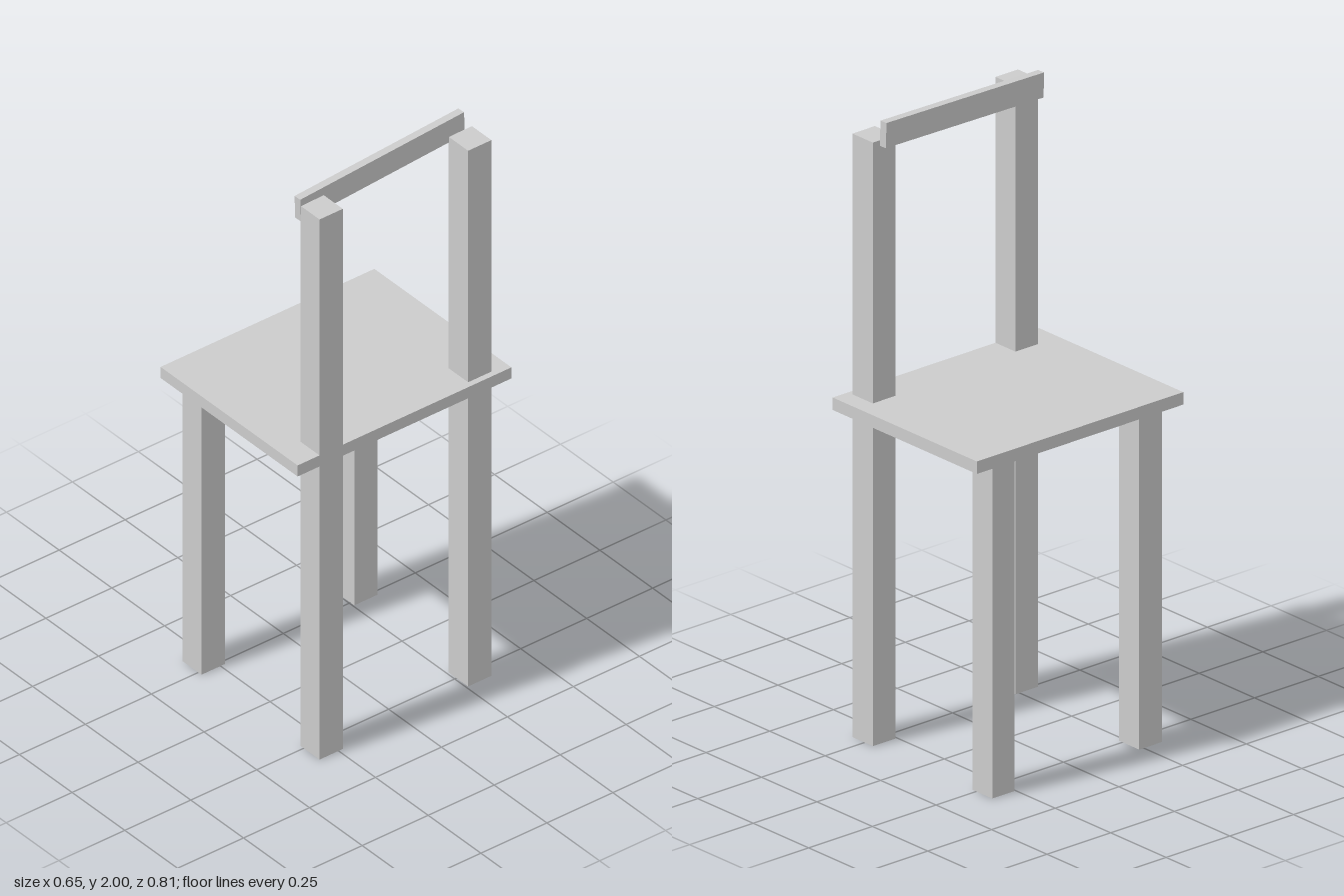
import * as THREE from 'three';

const material = new THREE.MeshStandardMaterial({ color: 0xcccccc, flatShading: true });

// Box given by its extents along each axis
function box(name, x0, x1, y0, y1, z0, z1) {
  const mesh = new THREE.Mesh(new THREE.BoxGeometry(x1 - x0, y1 - y0, z1 - z0), material);
  mesh.position.set((x0 + x1) / 2, (y0 + y1) / 2, (z0 + z1) / 2);
  mesh.name = name;
  return mesh;
}

export function createModel() {
  const chair = new THREE.Group();
  chair.name = 'chair';

  // Seat board
  chair.add(box('seat', -0.325, 0.325, 1.06, 1.1, -0.405, 0.405));

  // Short legs under the open edge of the seat
  chair.add(box('shortLegLeft', -0.325, -0.235, 0, 1.06, 0.232, 0.322));
  chair.add(box('shortLegRight', -0.322, -0.232, 0, 1.06, -0.342, -0.255));

  // Tall posts that pass through the seat and carry the back rail
  chair.add(box('tallPostLeft', 0.235, 0.325, 0, 1.953, 0.234, 0.322));
  chair.add(box('tallPostRight', 0.213, 0.305, 0, 1.937, -0.345, -0.257));

  // Slightly crooked back rail
  const rail = new THREE.Mesh(new THREE.BoxGeometry(0.026, 0.08, 0.642), material);
  rail.name = 'backRail';
  rail.position.set(0.212, 1.949, 0.004);
  rail.rotation.set(0.034, 0.04, 0, 'YXZ');
  chair.add(rail);

  return chair;
}
